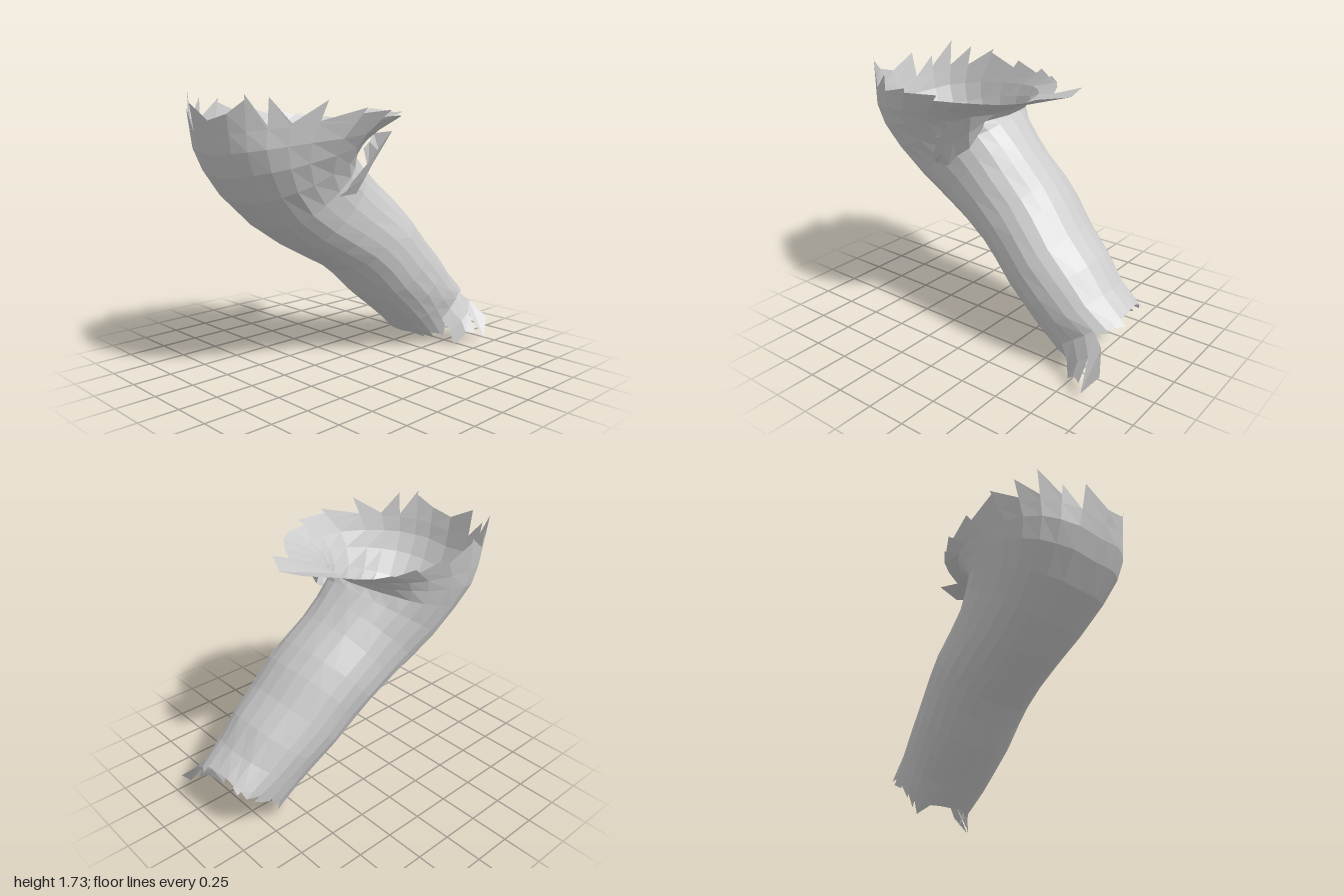
import * as THREE from 'three';

const N = 24;
const material = new THREE.MeshStandardMaterial({ color: 0xcccccc, flatShading: true, side: THREE.DoubleSide });

// Cross-sections: front z, y; back z, y; x min, x max; squareness power
const SECTIONS = [
  [-0.52, 0.09, -0.94, 0.41, -0.21, 0.31, 0.75],
  [-0.42, 0.18, -0.83, 0.51, -0.24, 0.335, 0.85],
  [-0.31, 0.27, -0.71, 0.66, -0.28, 0.35, 0.9],
  [-0.18, 0.38, -0.56, 0.81, -0.32, 0.35, 0.92],
  [-0.05, 0.51, -0.43, 0.97, -0.35, 0.335, 0.92],
  [0.06, 0.60, -0.33, 1.07, -0.37, 0.315, 0.92],
  [0.22, 0.69, -0.18, 1.20, -0.385, 0.29, 0.92],
  [0.40, 0.79, -0.08, 1.30, -0.40, 0.275, 0.88],
  [0.60, 0.93, 0.00, 1.38, -0.43, 0.285, 0.82],
  [0.78, 1.10, 0.03, 1.41, -0.47, 0.35, 0.78],
  [0.89, 1.25, -0.01, 1.45, -0.505, 0.41, 0.75],
  [0.95, 1.38, -0.08, 1.485, -0.53, 0.46, 0.75],
  [0.97, 1.48, -0.22, 1.53, -0.55, 0.50, 0.75],
];

// Small repeatable irregularity for the cloth
let seed = 7;
const wobble = (a) => {
  seed = (seed * 16807) % 2147483647;
  return (seed / 2147483647 - 0.5) * a;
};

const power = (v, p) => Math.sign(v) * Math.abs(v) ** p;

// The flare skews the opening and lifts its sides towards the rim
function makeRing([fz, fy, bz, by, x0, x1, p], row) {
  const flare = Math.max(0, (row - 8) / 4);
  return Array.from({ length: N }, (_, i) => {
    const a = (i / N) * Math.PI * 2;
    const c = power(Math.cos(a), p), s = power(Math.sin(a), p);
    const skew = c * s > 0 ? 1 - (s > 0 ? 0.28 : 0.1) * flare * Math.abs(s) : 1;
    return new THREE.Vector3(
      (x0 + x1) / 2 + ((x1 - x0) / 2) * c * skew + wobble(0.006),
      (fy + by) / 2 + ((fy - by) / 2) * s + 0.06 * flare * Math.abs(c) + wobble(0.006),
      (fz + bz) / 2 + ((fz - bz) / 2) * s + wobble(0.006));
  });
}

// Mesh from a list of four-cornered patches
function patchMesh(name, quads) {
  const pts = quads.flatMap(([a, b, c, d]) => [a, b, c, a, c, d]);
  const geometry = new THREE.BufferGeometry().setFromPoints(pts);
  geometry.computeVertexNormals();
  const mesh = new THREE.Mesh(geometry, material);
  mesh.name = name;
  return mesh;
}

function loft(rows, closed) {
  const quads = [];
  for (let r = 0; r + 1 < rows.length; r++) {
    const n = rows[r].length;
    for (let i = 0; i < (closed ? n : n - 1); i++) {
      const j = (i + 1) % n;
      quads.push([rows[r][i], rows[r][j], rows[r + 1][j], rows[r + 1][i]]);
    }
  }
  return quads;
}

// Ragged edge: each patch runs on from the rim by its own pair of lengths
function tornEdge(rim, inner, lengths, skip = []) {
  const quads = [];
  const extend = (i, l) => {
    const d = rim[i].clone().sub(inner[i]).normalize();
    return rim[i].clone().addScaledVector(d, l);
  };
  lengths.forEach(([l0, l1], i) => {
    if (skip.includes(i)) return;
    const j = (i + 1) % N;
    quads.push([rim[i], rim[j], extend(j, l1), extend(i, l0)]);
  });
  return quads;
}

const V = (x, y, z) => new THREE.Vector3(x, y, z);

export function createModel() {
  const group = new THREE.Group();
  group.name = 'tornSleeve';
  const rings = SECTIONS.map(makeRing);

  // Sleeve tube flaring into the shoulder opening
  group.add(patchMesh('sleeve', loft(rings, true)));

  // Torn shoulder edge, with the long tongue at the back
  const top = [
    [0.10, 0.02], [0.14, 0.02], [0.02, 0.17], [0.02, 0.2], [0.17, 0.11], [0.11, 0.10],
    [0.10, 0.17], [0.0, 0.12], [0.05, 0.21], [0.04, 0.16], [0.03, 0.15], [0.12, 0.03],
    [0.09, 0.02], [0.07, 0.02], [0.04, 0.02], [0.02, 0.01], [0.01, 0.02], [0.24, 0.26],
    [0.24, 0.16], [0.04, 0.02], [0.02, 0.03], [0.03, 0.04], [0.04, 0.02], [0.08, 0.06],
  ];
  group.add(patchMesh('tornShoulderEdge', tornEdge(rings[12], rings[11], top)));

  // Torn cuff edge
  const cuff = [
    [0.1, 0.2], [0.08, 0.17], [0.12, 0.05], [0.11, 0.03], [0.07, 0.01], [0.01, 0.01],
    [0.01, 0.01], [0.01, 0.03], [0.03, 0.12], [0.13, 0.05], [0.1, 0.03], [0.06, 0.02],
    [0.04, 0.07], [0.02, 0.06], [0.06, 0.03], [0.06, 0.03], [0.02, 0.01], [0.01, 0.01],
    [0.01, 0.02], [0.07, 0.05], [0.05, 0.03], [0.06, 0.02], [0.05, 0.1], [0.1, 0.1],
  ];
  group.add(patchMesh('tornCuffEdge', tornEdge(rings[0], rings[1], cuff, [22, 23, 0])));

  // Loose strip flaring out of the cuff
  const strip = [
    [rings[0][22], rings[0][23], rings[0][0], rings[0][1]],
    [V(0.32, 0.28, -0.93), V(0.36, 0.21, -0.87), V(0.36, 0.16, -0.8), V(0.33, 0.10, -0.71)],
  ];
  group.add(patchMesh('cuffStrip', [
    ...loft(strip, false),
    [strip[1][0], strip[1][1], V(0.48, 0.05, -0.90), V(0.43, 0.17, -0.99)],
    [strip[1][1], strip[1][2], V(0.40, 0.09, -0.80), V(0.44, 0.08, -0.86)],
    [strip[1][2], strip[1][3], V(0.35, 0.01, -0.73), V(0.40, 0.08, -0.8)],
  ]));

  // Folded cloth hanging under the shoulder edge on the left side
  group.add(patchMesh('shoulderFold', loft([
    [V(0.20, 1.48, -0.07), V(0.38, 1.50, -0.04), V(0.43, 1.45, 0.08), V(0.42, 1.34, 0.19), V(0.36, 1.21, 0.28)],
    [V(0.22, 1.43, -0.01), V(0.33, 1.38, 0.02), V(0.37, 1.32, 0.11), V(0.37, 1.23, 0.19), V(0.34, 1.17, 0.29)],
    [V(0.20, 1.39, 0.02), V(0.28, 1.27, 0.06), V(0.31, 1.21, 0.14), V(0.32, 1.14, 0.20), V(0.30, 1.13, 0.32)],
  ], false)));

  return group;
}
